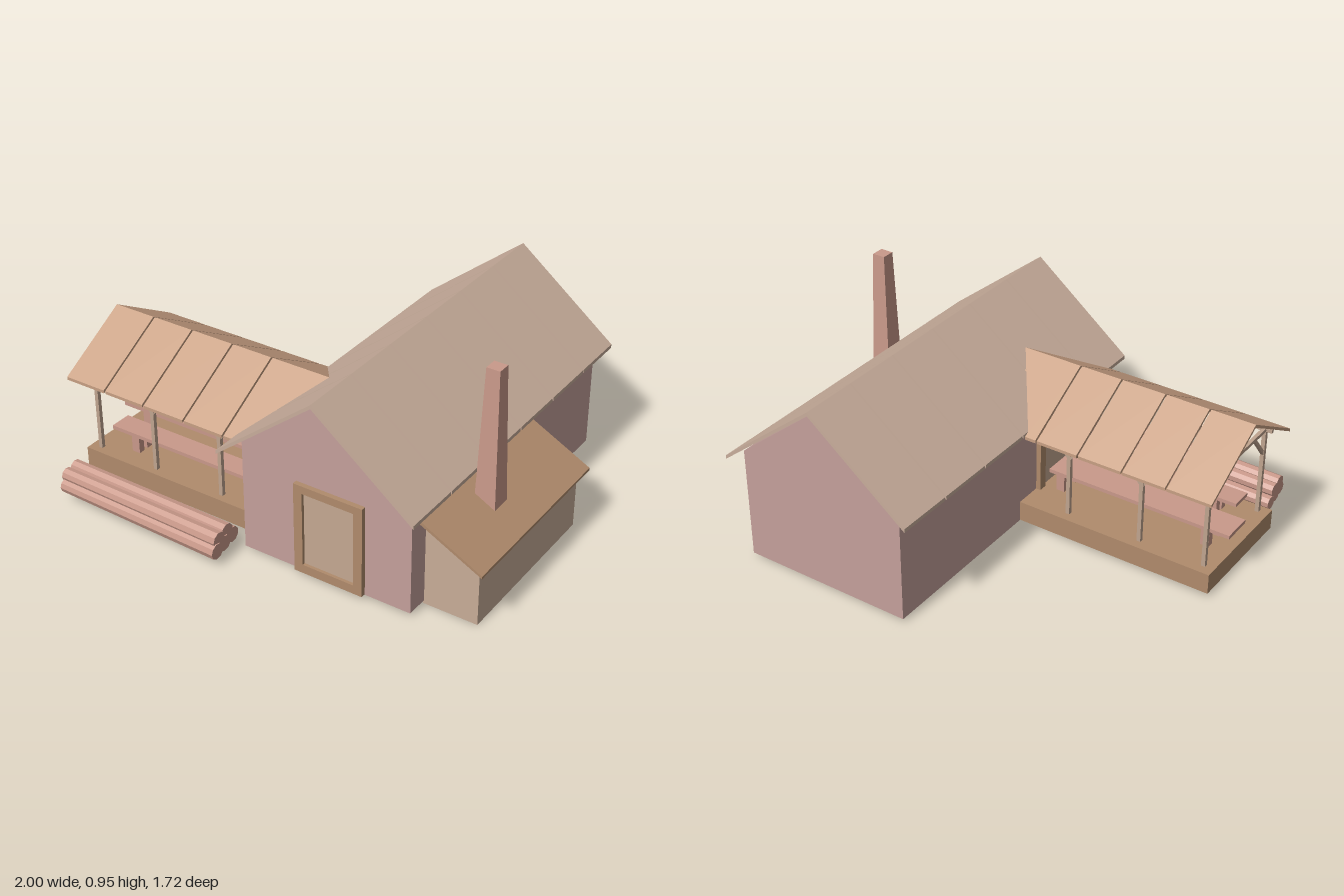
import * as THREE from 'three';

const mat = (color) => new THREE.MeshStandardMaterial({ color, flatShading: true });
const M = {
  wall: mat(0xc4a09b), roof: mat(0xc8ad9b), tan: mat(0xc8a083), annex: mat(0xc8ad98),
  brown: mat(0xb08b6c), log: mat(0xc9998a), post: mat(0xc0a48f), panel: mat(0xc4a892),
};

export function createModel() {
  const root = new THREE.Group();

  const add = (name, geo, material, parent = root) => {
    const m = new THREE.Mesh(geo, material);
    m.name = name;
    parent.add(m);
    return m;
  };
  const group = (name) => {
    const g = new THREE.Group();
    g.name = name;
    root.add(g);
    return g;
  };
  // box given by its min and max on each axis
  const box = (name, x0, x1, y0, y1, z0, z1, material, parent) => {
    const m = add(name, new THREE.BoxGeometry(x1 - x0, y1 - y0, z1 - z0), material, parent);
    m.position.set((x0 + x1) / 2, (y0 + y1) / 2, (z0 + z1) / 2);
    return m;
  };
  // x-y outline extruded from z0 to z1
  const prism = (pts, z0, z1) => {
    const s = new THREE.Shape(pts.map(([x, y]) => new THREE.Vector2(x, y)));
    return new THREE.ExtrudeGeometry(s, { depth: z1 - z0, bevelEnabled: false }).translate(0, 0, z0);
  };
  // square timber between two points
  const beam = (name, a, b, w, parent) => {
    const p = new THREE.Vector3(...a), q = new THREE.Vector3(...b);
    const m = add(name, new THREE.BoxGeometry(w, w, p.distanceTo(q)), M.post, parent);
    m.position.copy(p).add(q).multiplyScalar(0.5);
    m.lookAt(q);
    return m;
  };
  const chevron = (half, eave, ridge, t) => [
    [-half, eave], [-half, eave - t], [0, ridge - t], [half, eave - t], [half, eave], [0, ridge],
  ];

  // Main house
  add('houseWalls', prism([[-0.065, 0.015], [0.725, 0.015], [0.725, 0.525], [0.33, 0.845], [-0.065, 0.525]],
    -0.81, 0.67), M.wall);

  // Main roof: six panels with narrow gaps
  const mainRoof = group('mainRoof');
  const zs = [-0.855, -0.59, -0.32, -0.05, 0.215, 0.49, 0.76];
  for (let i = 0; i < 6; i++) {
    const g = prism(chevron(0.455, 0.505, 0.867, 0.017), zs[i] + (i ? 0.004 : 0), zs[i + 1] - (i < 5 ? 0.004 : 0));
    add('mainRoofPanel', g.translate(0.33, 0, 0), M.roof, mainRoof);
  }

  // Doors: a frame around a recessed panel
  const door = (name) => {
    const g = group(name);
    box('doorSide', -0.16, -0.12, 0, 0.415, 0, 0.022, M.brown, g);
    box('doorSide', 0.12, 0.16, 0, 0.415, 0, 0.022, M.brown, g);
    box('doorHead', -0.12, 0.12, 0.38, 0.415, 0, 0.022, M.brown, g);
    box('doorSill', -0.12, 0.12, 0, 0.04, 0, 0.022, M.brown, g);
    box('doorPanel', -0.12, 0.12, 0.04, 0.38, 0, 0.008, M.panel, g);
    return g;
  };
  door('frontDoor').position.set(0.355, 0.017, 0.67);
  const side = door('porchDoor');
  side.position.set(-0.065, 0.04, 0.305);
  side.rotation.y = -Math.PI / 2;

  // Lean-to with a single-pitch roof
  add('leanToWalls', prism([[0.72, 0], [0.965, 0], [0.965, 0.272], [0.72, 0.403]], -0.22, 0.57), M.annex);
  add('leanToRoof', prism([[0.72, 0.405], [1, 0.262], [1, 0.274], [0.72, 0.42]], -0.26, 0.615), M.brown);

  // Tapered square chimney with an open flue
  const chimney = group('chimney');
  const stack = new THREE.CylinderGeometry(0.03 * Math.SQRT2, 0.047 * Math.SQRT2, 0.615, 4, 1, true);
  add('chimneyStack', stack.rotateY(Math.PI / 4), M.log, chimney);
  const cap = new THREE.CylinderGeometry(0.03 * Math.SQRT2, 0.03 * Math.SQRT2, 0.004, 4).rotateY(Math.PI / 4);
  add('chimneyTop', cap, M.log, chimney).position.y = 0.305;
  chimney.position.set(0.827, 0.643, 0.257);

  // Porch roof: five panels, the last one cut along the main roof slope
  const porchRoof = group('porchRoof');
  const xs = [-1, -0.795, -0.59, -0.38, -0.18, 0.105];
  for (let i = 0; i < 5; i++) {
    const x1 = xs[i + 1];
    const g = prism(chevron(0.34, 0.492, 0.686, 0.014), xs[i] + (i ? 0.004 : 0), x1 - (i < 4 ? 0.004 : 0));
    g.rotateY(Math.PI / 2).translate(0, 0, 0.305);
    if (i === 4) {
      const p = g.attributes.position;
      for (let k = 0; k < p.count; k++) {
        if (p.getX(k) > 0) p.setX(k, Math.max(-0.125, 0.33 - (0.865 - p.getY(k)) / 0.8));
      }
      g.computeVertexNormals();
    }
    add('porchRoofPanel', g, M.tan, porchRoof);
  }

  // Porch deck on a skirt that is open below
  const deck = group('porchDeck');
  box('deckFloor', -0.985, -0.065, 0.09, 0.11, 0.02, 0.58, M.brown, deck);
  box('deckSkirt', -0.985, -0.065, 0.017, 0.09, 0.57, 0.58, M.brown, deck);
  box('deckSkirt', -0.985, -0.065, 0.017, 0.09, 0.02, 0.03, M.brown, deck);
  box('deckSkirt', -0.985, -0.975, 0.017, 0.09, 0.03, 0.57, M.brown, deck);

  // Posts, eave beams and braces
  const frame = group('porchFrame');
  for (const s of [-1, 1]) {
    const z = 0.305 + s * 0.235;
    for (const x of [-0.935, -0.63, -0.28]) {
      box('porchPost', x - 0.009, x + 0.009, 0.07, 0.53, z - 0.009, z + 0.009, M.post, frame);
      if (x > -0.9) {
        for (const d of [-1, 1]) beam('postBrace', [x, 0.385, z], [x + d * 0.1, 0.52, z], 0.014, frame);
      }
    }
    beam('eaveBeam', [-0.97, 0.522, z], [-0.07, 0.522, z], 0.016, frame);
    // gable end braces
    beam('gableBrace', [-0.935, 0.4, z], [-0.935, 0.52, z - s * 0.1], 0.014, frame);
    beam('gableStrut', [-0.935, 0.53, 0.305], [-0.935, 0.6, 0.305 + s * 0.1], 0.014, frame);
  }
  beam('tieBeam', [-0.935, 0.522, 0.07], [-0.935, 0.522, 0.54], 0.016, frame);
  beam('kingPost', [-0.935, 0.522, 0.3049], [-0.935, 0.67, 0.3051], 0.016, frame);

  // Two long benches
  for (const [x0, x1, z0, z1] of [[-0.985, -0.11, 0.18, 0.32], [-0.9, -0.08, 0.4, 0.5]]) {
    const bench = group('bench');
    box('benchSeat', x0, x1, 0.193, 0.21, z0, z1, M.log, bench);
    for (const x of [x0 + 0.115, x1 - 0.05]) {
      for (const z of [z0 + 0.025, z1 - 0.025]) {
        box('benchLeg', x - 0.02, x + 0.02, 0.11, 0.193, z - 0.015, z + 0.015, M.log, bench);
      }
    }
  }

  // Stacked logs lying slightly askew
  const logs = group('logPile');
  for (const [x, y, z] of [[-0.5, 0.07, 0.815], [-0.51, 0.07, 0.752], [-0.52, 0.07, 0.688],
    [-0.505, 0.112, 0.795], [-0.515, 0.112, 0.73]]) {
    const m = add('log', new THREE.CylinderGeometry(0.036, 0.031, 0.825, 9).rotateZ(-Math.PI / 2), M.log, logs);
    m.position.set(x, y, z);
    m.rotation.y = -0.022;
  }

  return root;
}
